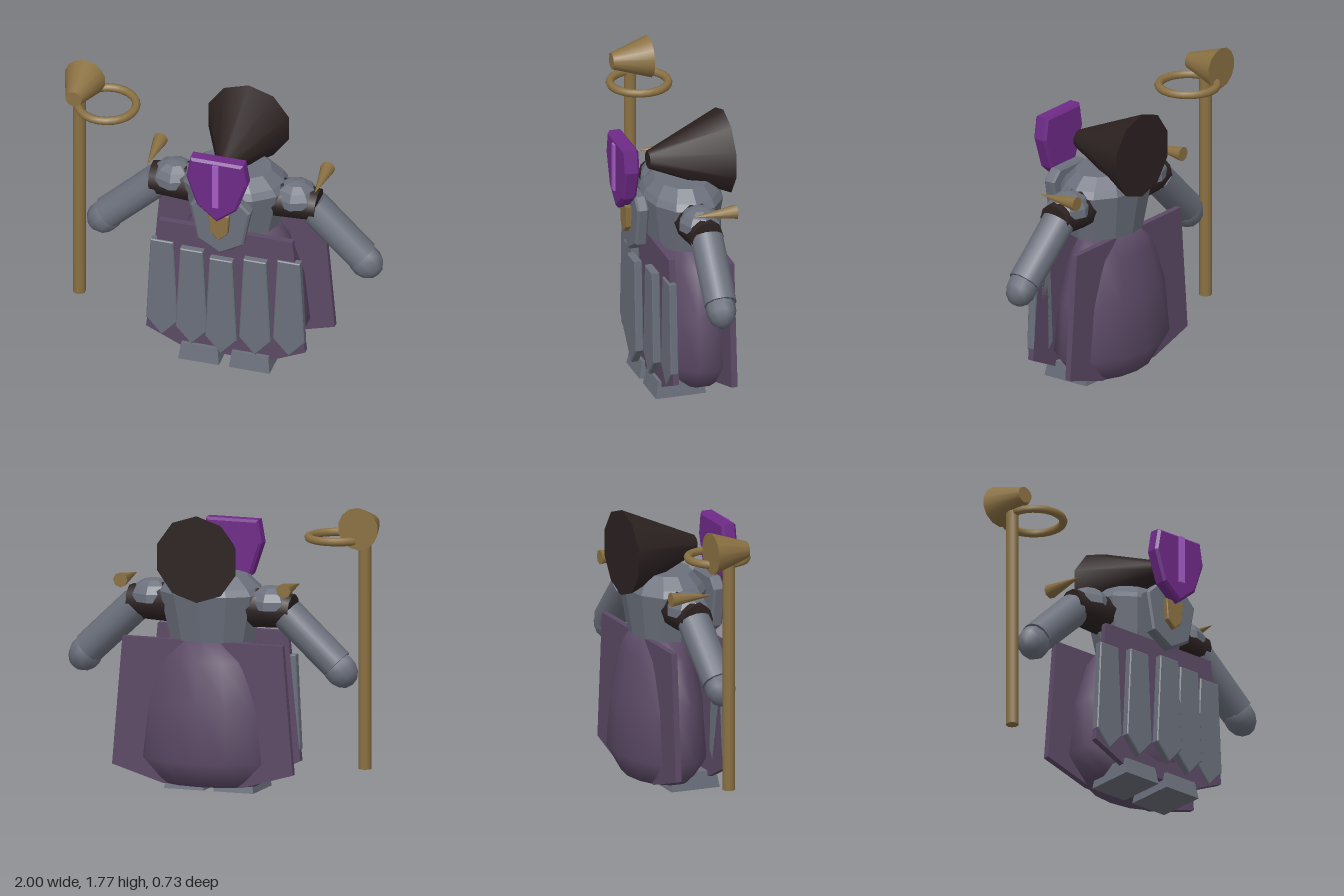
import * as THREE from 'three';

const mat = (name, color, flat = false) => {
  const m = new THREE.MeshStandardMaterial({ color, flatShading: flat });
  m.name = name;
  return m;
};

export function createModel() {
  const steel = mat('steel', 0x6b707c);
  const robe = mat('robePurple', 0x5c4a66);
  const dark = mat('darkCloth', 0x2d2222);
  const gold = mat('gold', 0x8b7143);
  const violet = mat('maskViolet', 0x6f2a88);
  const glow = mat('glowViolet', 0xa55cc6);

  const model = new THREE.Group();
  const figure = new THREE.Group(); // everything but the staff is symmetric about this group
  figure.name = 'figure';
  figure.position.x = 0.09;
  model.add(figure);

  const add = (parent, name, geo, material, x = 0, y = 0, z = 0) => {
    const mesh = new THREE.Mesh(geo, material);
    mesh.name = name;
    mesh.position.set(x, y, z);
    parent.add(mesh);
    return mesh;
  };

  // Mirrored outline (right half, top to bottom) extruded from z0 to z1
  const plate = (half, z0, z1, bevel = 0) => {
    const left = half.filter(p => p[0] > 0).map(([x, y]) => [-x, y]).reverse();
    const shape = new THREE.Shape([...half, ...left].map(([x, y]) => new THREE.Vector2(x, y)));
    const geo = new THREE.ExtrudeGeometry(shape, {
      depth: z1 - z0 - 2 * bevel, bevelEnabled: bevel > 0, bevelSize: bevel,
      bevelThickness: bevel, bevelOffset: -bevel, bevelSegments: 1,
    });
    return geo.translate(0, 0, z0 + bevel);
  };

  const lathe = (pts, sides, sx, sz) =>
    new THREE.LatheGeometry(pts.map(([r, y]) => new THREE.Vector2(r, y)), sides).scale(sx, 1, sz);

  // Cylinder between two points
  const rod = (parent, name, a, b, ra, rb, sides, material) => {
    const va = new THREE.Vector3(...a), vb = new THREE.Vector3(...b);
    const dir = vb.clone().sub(va);
    const mesh = add(parent, name, new THREE.CylinderGeometry(rb, ra, dir.length(), sides), material);
    mesh.position.copy(va).add(vb).multiplyScalar(0.5);
    mesh.quaternion.setFromUnitVectors(new THREE.Vector3(0, 1, 0), dir.normalize());
    return mesh;
  };

  // Robe body
  add(figure, 'robeBody', lathe(
    [[0, 0.05], [0.7, 0.05], [1, 0.2], [0.92, 0.53], [0.72, 0.8], [0.53, 0.92], [0, 0.92]],
    14, 0.44, 0.265), robe, 0, 0, -0.1);

  // Flat skirt panels, front and back
  add(figure, 'frontSkirtPanel', plate(
    [[0.41, 0.945], [0.49, 0.17], [0.25, 0.06]], 0.11, 0.147), robe);
  add(figure, 'backSkirtPanel', plate(
    [[0.505, 0.915], [0.57, 0.145], [0.25, 0.05]], -0.227, -0.19), robe);

  // Five hanging armour strips, stepping back from the middle
  for (let i = -2; i <= 2; i++) {
    const z = 0.2 - 0.045 * Math.abs(i);
    add(figure, 'skirtStrip', plate(
      [[0.07, 0.805], [0.097, 0.24], [0, 0.13]], z, z + 0.05, 0.006), steel, i * 0.195);
  }

  // Torso
  add(figure, 'torso', lathe(
    [[0, 0.91], [0.265, 0.91], [0.33, 1.19], [0.3, 1.23], [0.22, 1.297], [0, 1.297]],
    12, 1, 0.73), mat('torsoSteel', 0x6b707c, true), 0, 0, -0.06);

  // Chest plate with a gold crest
  add(figure, 'chestPlate', plate(
    [[0.12, 1.245], [0.185, 1.18], [0.14, 0.945], [0, 0.863]], 0.193, 0.266, 0.012), steel);
  add(figure, 'chestCrest', plate(
    [[0.065, 1.16], [0.055, 1.03], [0, 0.98]], 0.255, 0.297, 0.005), gold);

  // Hood: a blunt cone opening toward the back
  add(figure, 'hood', new THREE.CylinderGeometry(0.055, 0.26, 0.468, 10).rotateX(Math.PI / 2),
    dark, 0, 1.42, -0.09);

  // Mask and its glowing slit
  add(figure, 'mask', plate(
    [[0.163, 1.568], [0.187, 1.43], [0.122, 1.24], [0, 1.138]], 0.252, 0.344, 0.015), violet);
  add(figure, 'maskSlit', new THREE.BoxGeometry(0.038, 0.295, 0.014), glow, 0, 1.405, 0.357);

  for (const s of [-1, 1]) {
    const side = s > 0 ? 'left' : 'right';

    // Arm
    rod(figure, side + 'UpperArm', [s * 0.22, 1.115, -0.06], [s * 0.51, 1.1, -0.06], 0.128, 0.1, 10, dark);
    rod(figure, side + 'Forearm', [s * 0.475, 1.085, -0.066], [s * 0.785, 0.795, -0.05], 0.1, 0.098, 14, steel);
    const hand = add(figure, side + 'Hand', new THREE.SphereGeometry(0.1, 10, 7), steel, s * 0.803, 0.765, -0.047);
    hand.rotation.z = s * 0.75;
    hand.scale.set(1.02, 1.15, 0.9);

    // Shoulder pad and spike
    const pad = add(figure, side + 'ShoulderPad',
      new THREE.SphereGeometry(1, 8, 4, 0, Math.PI * 2, 0, Math.PI * 0.55),
      steel, s * 0.37, 1.13, -0.06);
    pad.material = padSteel();
    pad.scale.set(0.145, 0.117, 0.132);
    add(figure, side + 'ShoulderSpike',
      new THREE.ConeGeometry(0.045, 0.277, 8).rotateX(Math.PI / 2), gold, s * 0.515, 1.25, -0.097);

    // Foot: a slab narrowing toward the top
    const foot = new THREE.BoxGeometry(0.25, 0.105, 0.31);
    const p = foot.attributes.position;
    for (let i = 0; i < p.count; i++) {
      if (p.getY(i) > 0) p.setXYZ(i, p.getX(i) * 0.9, p.getY(i), p.getZ(i) * 0.88);
    }
    foot.computeVertexNormals();
    add(figure, side + 'Foot', foot, steel, s * 0.156, 0.0525, 0.03);
  }

  function padSteel() {
    const torso = figure.getObjectByName('torso');
    const m = torso.material;
    m.side = THREE.DoubleSide;
    return m;
  }

  // Staff with a flared head and a ring
  const staff = new THREE.Group();
  staff.name = 'staff';
  staff.position.set(-0.873, 0, -0.06);
  model.add(staff);
  add(staff, 'staffPole', new THREE.CylinderGeometry(0.038, 0.038, 1.385, 10), gold, 0, 0.8775, 0);
  add(staff, 'staffHead', new THREE.CylinderGeometry(0.05, 0.127, 0.232, 14).rotateX(Math.PI / 2),
    gold, 0, 1.64, 0);
  add(staff, 'staffRing', new THREE.TorusGeometry(0.173, 0.025, 8, 24).rotateX(Math.PI / 2),
    gold, 0.171, 1.562, 0);

  return model;
}
